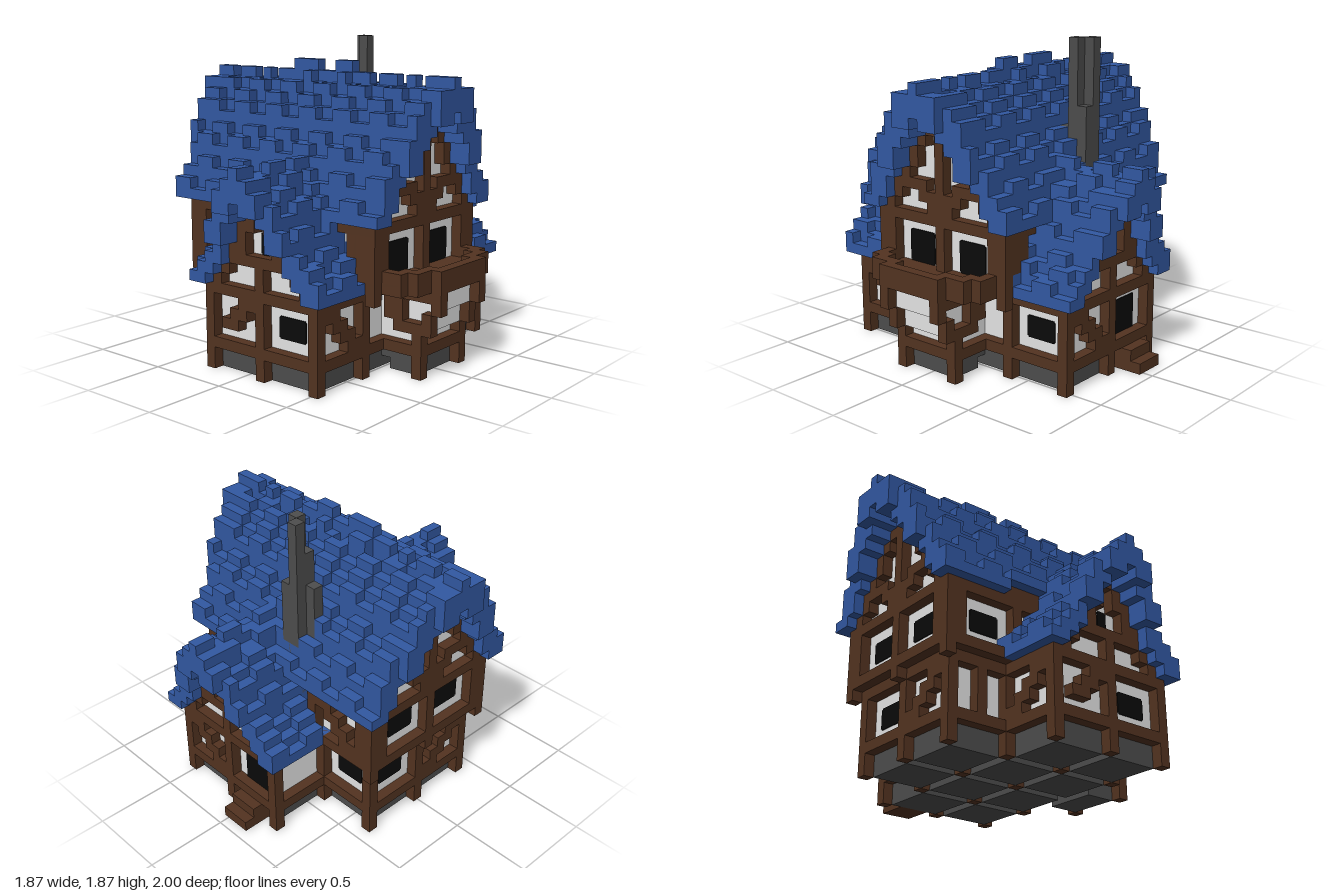
import * as THREE from 'three';
import { mergeGeometries } from 'three/addons/utils/BufferGeometryUtils.js';

const U = 2 / 31; // edge of one block
const mat = (name, color) => Object.assign(new THREE.MeshStandardMaterial({ color }), { name });

export function createModel() {
  const blue = mat('roof blue', 0x3258a2), brown = mat('timber brown', 0x533320);
  const white = mat('plaster white', 0xe4e4e4), grey = mat('stone grey', 0x4d4d4d), black = mat('window black', 0x0a0a0a);
  const parts = {
    foundation: grey, chimney: grey, plaster: white, bayPlaster: white, beams: brown, posts: brown, braces: brown,
    rafters: brown, balcony: brown, doorSteps: brown, mainRoof: blue, wingRoof: blue, windows: black, door: black,
  };
  const geos = {};
  // box in block units, from corner to corner
  const box = (part, x0, x1, y0, y1, z0, z1) => {
    const g = new THREE.BoxGeometry((x1 - x0) * U, (y1 - y0) * U, (z1 - z0) * U);
    g.translate(((x0 + x1) / 2 - 14.5) * U, ((y0 + y1) / 2) * U, ((z0 + z1) / 2 - 15.5) * U);
    (geos[part] ??= []).push(g);
  };
  // box mirrored front to back
  const boxFB = (part, x0, x1, y0, y1, z0, z1) => {
    box(part, x0, x1, y0, y1, z0, z1);
    box(part, x0, x1, y0, y1, 31 - z1, 31 - z0);
  };

  // foundation: stone blocks between the posts, parted by grooves
  const cells = [[4, 9], [4, 15]];
  for (const x of [10, 16]) for (const z of [3, 9, 15, 21]) cells.push([x, z]);
  for (const [x, z] of cells) box('foundation', x + 1, x + 6, 0, 2.5, z + 1, z + 6);
  box('foundation', 23, 26, 0, 2.5, 13, 18);
  box('foundation', 5, 22, 1, 2.5, 10, 21);
  box('foundation', 11, 22, 1, 2.5, 4, 27);
  box('foundation', 21, 26, 1, 2.5, 13, 18);

  // ground floor
  box('plaster', 5, 22, 2.5, 8, 10, 21);
  box('plaster', 11, 22, 2.5, 8, 4, 27);
  for (const y of [2, 7]) {
    box('beams', 4, 23, y, y + 1, 9, 22);
    box('beams', 10, 23, y, y + 1, 3, 28);
  }
  for (const x of [10, 16, 22]) boxFB('posts', x, x + 1, 0, 8, 3, 4);
  for (const x of [4, 10, 22]) boxFB('posts', x, x + 1, 0, 8, 9, 10);
  for (const z of [9, 15, 21]) box('posts', 16, 17, 0, 2, z, z + 1);
  box('posts', 10, 11, 0, 2, 15, 16);
  box('posts', 4, 5, 0, 8, 15, 16);
  box('posts', 7, 8, 3, 7, 21, 22);

  // upper floor, jutting out over the ground floor, with post ends hanging down
  box('plaster', 4, 24, 8, 14, 9, 22);
  box('beams', 3, 25, 8, 9, 8, 23);
  box('beams', 3, 25, 13, 14, 8, 23);
  box('beams', 9, 13, 14, 15, 22, 23);
  for (const x of [3, 23]) boxFB('posts', x, x + 2, 8, 14, 8, 10);
  for (const x of [3, 24]) boxFB('posts', x, x + 1, 7, 8, 8, 9);
  for (const x of [10, 22]) boxFB('posts', x, x + 1, 7, 13, 8, 9);
  for (const x of [3, 24]) box('posts', x, x + 1, 7, 13, 15, 16);

  // roof shells: undersides and tops by distance from the ridge
  const mainLow = [23, 22, 21, 20, 18, 17, 15, 14, 14], mainTop = [25, 24, 24, 23, 22, 20, 19, 17, 15];
  const wingLow = [16, 15, 14, 12, 10, 9, 8, 8], wingTop = [18, 17, 16, 15, 13, 11, 10, 9];
  const roof = (low, top, length, steps, levels, ridgeGaps, put) => {
    top.forEach((h, d) => {
      for (const side of d ? [-1, 1] : [1]) {
        for (let s = 0; s < length; s++) {
          const e = Math.min(s, length - 1 - s);
          if (e < (d <= steps[0] ? 0 : d <= steps[1] ? 1 : 2)) continue;
          // raised tiles, staggered from row to row
          const raised = d ? (s + d * 2 + ((d * d + side) % 3)) % 4 < 2 : !ridgeGaps.includes(s);
          const y0 = e < 2 ? Math.max(low[d], levels[e]) : low[d];
          put(s, d * side, y0, Math.max(h + (raised || e < 2 ? 1 : 0), y0 + 1), d);
        }
      }
    });
  };
  roof(mainLow, mainTop, 28, [2, 5], [22, 18], [2, 5, 7, 19, 22, 24], (s, o, y0, y1, d) => {
    const crown = d < 2 && ((s > 9 && s < 13) || s === 15 || s === 16) ? 1 : 0;
    const lift = o > 6 && s > 8 && s < 13 ? 1 : 0;
    box('mainRoof', s, s + 1, y0 + lift, Math.max(y1 + crown, y0 + lift + 1), 15 + o, 16 + o);
  });
  roof(wingLow, wingTop, 31, [2, 4], [15, 12], [2, 5, 6, 24, 27, 28], (s, o, y0, y1) => {
    if (Math.abs(s - 15) > 5) box('wingRoof', 16 + o, 17 + o, y0, y1, s, s + 1);
  });

  // main gables: plaster, rafters, king post and braces
  for (let d = 0; d < 8; d++) {
    for (const s of d ? [-d, d] : [0]) {
      const z = 15 + s;
      if (mainLow[d] > 14) box('plaster', 4, 24, 13.5, mainLow[d], z, z + 1);
      for (const x of [3, 24]) {
        if (mainLow[d] > mainLow[d + 1]) box('rafters', x, x + 1, mainLow[d + 1], mainLow[d], z, z + 1);
        if (d === 0) box('posts', x, x + 1, 14, 22, z, z + 1);
        if (d === 1) box('braces', x, x + 1, 14, 16, z, z + 1);
        if (d === 2) box('braces', x, x + 1, 15, 17, z, z + 1);
        if (d === 3 || d === 4) box('braces', x, x + 1, 16, 17, z, z + 1);
      }
    }
  }
  // wing gables, front and back
  for (let d = 0; d < 7; d++) {
    for (const s of d ? [-d, d] : [0]) {
      const x = 16 + s, h = wingLow[d];
      if (d < 6) box('plaster', x, x + 1, 7.5, h, 4, 27);
      if (h > 8) boxFB('rafters', x, x + 1, Math.max(8, h - (d === 2 ? 3 : d === 0 || d > 3 ? 1 : 2)), h, 27, 28);
      if (d < 4) boxFB('beams', x, x + 1, 10, 11, 27, 28);
    }
  }
  boxFB('posts', 16, 17, 8, 10, 27, 28);

  // bay under the balcony, stepping outwards
  box('beams', 22, 27, 2, 3, 12, 19);
  [[26, 2.5, 4], [27, 4, 6], [28, 6, 8]].forEach(([x, y0, y1]) => box('bayPlaster', 21, x, y0, y1, 13, 18));
  boxFB('posts', 26, 27, 0, 4, 12, 13);
  boxFB('posts', 27, 28, 4, 6, 12, 13);
  boxFB('posts', 28, 29, 6, 8, 12, 13);
  boxFB('braces', 23, 25, 5, 7, 12, 13);
  boxFB('braces', 24, 27, 4, 5, 12, 13);
  boxFB('braces', 24, 25, 5, 6, 12, 13);
  boxFB('beams', 22, 28, 7, 8, 12, 13);
  // balcony: floor with stepped plan and a rail around it
  box('balcony', 22, 27, 8, 9, 9, 22);
  box('balcony', 22, 28, 8, 9, 10, 21);
  box('balcony', 22, 29, 8, 9, 12, 19);
  box('balcony', 28, 29, 9, 10, 12, 19);
  boxFB('balcony', 27, 28, 9, 10, 10, 13);
  boxFB('balcony', 25, 27, 9, 10, 9, 10);
  boxFB('balcony', 26, 27, 9, 10, 10, 11);

  // stepped braces in the wall panels
  for (let i = 0; i < 4; i++) {
    box('braces', 12 + i, 14 + i - (i > 2 ? 1 : 0), 4 + Math.min(i, 2), 5 + Math.min(i, 2), 27, 28); // front wing
    box('braces', 17 + i, 19 + i, 3 + i, 4 + i, 3, 4); // back wing
    box('braces', 4, 5, 3 + i, 4 + i, 16 + i, 18 + i); // left wall
    box('braces', 5 + i, 7 + i, 9 + i, 10 + i, 8, 9); // upper back wall
    for (const x of [10, 22]) box('braces', x, x + 1, 3 + i, 4 + i, 22 + i, 24 + i); // wing sides
  }

  // windows: thin plates with notched corners
  const p = 0.1, q = 0.12;
  const windowZ = (x0, x1, y0, y1, z) => {
    box('windows', x0 + q, x1 - q, y0, y1, z - p, z + p);
    box('windows', x0, x1, y0 + q, y1 - q, z - p, z + p);
  };
  const windowX = (z0, z1, y0, y1, x) => {
    box('windows', x - p, x + p, y0, y1, z0 + q, z1 - q);
    box('windows', x - p, x + p, y0 + q, y1 - q, z0, z1);
  };
  windowZ(18, 21, 4, 6, 27);
  windowZ(6, 9, 10, 12, 22);
  for (const z of [4, 27]) windowZ(16, 17, 11, 13, z);
  windowZ(6, 9, 4, 6, 10);
  for (const z of [11, 17]) {
    windowX(z, z + 3, 10, 12, 4);
    windowX(z, z + 3, 9, 12, 24);
  }
  windowX(5, 8, 4, 6, 22);
  windowX(11, 14, 4, 6, 5);

  // back door with steps
  box('door', 12, 15, 3, 6.2, 4 - p, 4 + p);
  box('doorSteps', 12, 15, 0, 1, 1, 4);
  box('doorSteps', 12, 15, 1, 2, 2, 4);

  // chimney: two tall shafts corner to corner, with lower stones around them
  [[12, 8, 29], [13, 9, 29], [12, 9, 26], [13, 8, 23], [11, 9, 23], [14, 8, 18], [14, 9, 20], [12, 10, 21], [13, 10, 21], [14, 10, 21]]
    .forEach(([x, z, top]) => box('chimney', x, x + 1, 12, top, z, z + 1));

  const group = new THREE.Group();
  group.name = 'timberHouse';
  for (const [name, list] of Object.entries(geos)) {
    const mesh = new THREE.Mesh(mergeGeometries(list), parts[name]);
    mesh.name = name;
    group.add(mesh);
  }
  return group;
}
